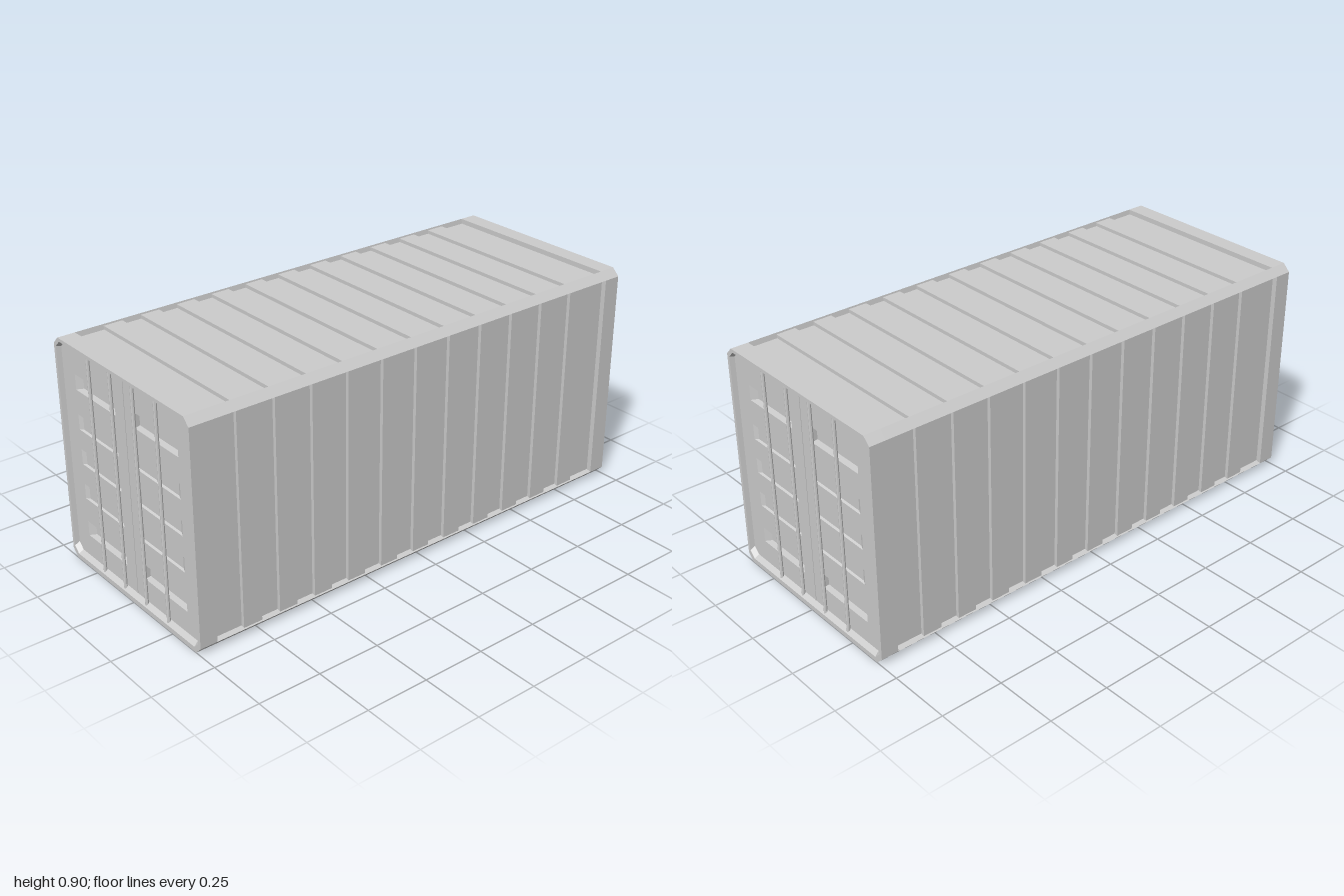
import * as THREE from 'three';

const mat = new THREE.MeshStandardMaterial({ color: 0xcccccc, flatShading: true, side: THREE.DoubleSide });

// Closed skin joining rings of equal point count; optional cap on the last ring
function loft(rings, cap) {
  const n = rings[0].length, pos = [], idx = [];
  rings.forEach(r => r.forEach(p => pos.push(...p)));
  for (let k = 0; k < rings.length - 1; k++)
    for (let i = 0; i < n; i++) {
      const a = k * n + i, b = k * n + (i + 1) % n;
      idx.push(a, b, b + n, a, b + n, a + n);
    }
  if (cap) {
    const o = (rings.length - 1) * n;
    for (let i = 1; i < n - 1; i++) idx.push(o, o + i, o + i + 1);
  }
  const g = new THREE.BufferGeometry();
  g.setAttribute('position', new THREE.Float32BufferAttribute(pos, 3));
  g.setIndex(idx);
  const flat = g.toNonIndexed();
  flat.computeVertexNormals();
  return flat;
}

// Chamfered rectangle, anticlockwise
const octagon = (h, y0, y1, c, z) => [
  [h - c, y0, z], [h, y0 + c, z], [h, y1 - c, z], [h - c, y1, z],
  [c - h, y1, z], [-h, y1 - c, z], [-h, y0 + c, z], [c - h, y0, z]];

const rect = (x0, x1, y0, y1, z) => [[x0, y0, z], [x1, y0, z], [x1, y1, z], [x0, y1, z]];
const vec = ring => ring.map(p => new THREE.Vector2(p[0], p[1]));

function add(parent, name, geometry, x = 0, y = 0, z = 0) {
  const m = new THREE.Mesh(geometry, mat);
  m.name = name;
  m.position.set(x, y, z);
  parent.add(m);
  return m;
}

// One end: chamfered frame, recessed doors with pressed slots, locking bars
function makeEnd() {
  const end = new THREE.Group();
  end.name = 'doorEnd';
  const zDoor = 0.982;
  const inner = octagon(0.402, 0.033, 0.884, 0.025, zDoor);
  add(end, 'endFrame', loft([
    octagon(0.37, 0.04, 0.85, 0.02, 0.93),
    octagon(0.42, 0, 0.9, 0.029, 0.93),
    octagon(0.42, 0, 0.9, 0.029, 1),
    octagon(0.407, 0.019, 0.887, 0.025, 1),
    inner]));

  const door = new THREE.Shape(vec(inner));
  const rows = [[0.152, 0.022], [0.309, 0.008], [0.451, 0.008], [0.591, 0.008], [0.749, 0.022]];
  for (const [y, depth] of rows)
    for (const s of [-1, 1]) {
      const slot = (out, h, z) => s > 0 ? rect(0.06, out, y - h, y + h, z) : rect(-out, -0.06, y - h, y + h, z);
      const rim = slot(0.322, 0.03, zDoor);
      door.holes.push(new THREE.Path(vec(rim)));
      add(end, 'doorSlot', loft([rim, slot(0.303, 0.026, zDoor - depth)], true));
    }
  add(end, 'doors', new THREE.ShapeGeometry(door), 0, 0, zDoor);
  add(end, 'doorSeam', new THREE.BoxGeometry(0.006, 0.85, 0.004), 0, 0.459, zDoor);
  for (const x of [-0.21, -0.07, 0.07, 0.21])
    add(end, 'lockingBar', new THREE.CylinderGeometry(0.007, 0.007, 0.867, 8), x, 0.453, 0.989);
  return end;
}

export function createModel() {
  const model = new THREE.Group();
  model.name = 'cargoContainer';

  // Recessed walls, roof and floor
  add(model, 'body', new THREE.BoxGeometry(0.8, 0.868, 1.88), 0, 0.446, 0);

  // Chamfered rails along the four long edges
  const profiles = {
    topRail: [[0.42, 0.871], [0.391, 0.9], [0.386, 0.875], [0.395, 0.866]],
    bottomRail: [[0.42, 0.029], [0.391, 0], [0.386, 0.02], [0.395, 0.036]],
  };
  for (const [name, pts] of Object.entries(profiles))
    for (const s of [-1, 1]) {
      const shape = new THREE.Shape(pts.map(([x, y]) => new THREE.Vector2(s * x, y)));
      add(model, name, new THREE.ExtrudeGeometry(shape, { depth: 1.87, bevelEnabled: false }), 0, 0, -0.935);
    }

  // Square corrugation on sides and roof
  const band = 0.0776;
  for (let i = -5; i <= 5; i++) {
    const z = i * 2 * band;
    add(model, 'roofRib', new THREE.BoxGeometry(0.778, 0.02, band), 0, 0.884, z);
    for (const s of [-1, 1])
      add(model, 'sideRib', new THREE.BoxGeometry(0.02, 0.838, band), s * 0.404, 0.45, z);
  }

  // Matching ends
  const front = makeEnd(), back = makeEnd();
  front.name = 'frontEnd';
  back.name = 'backEnd';
  back.rotation.y = Math.PI;
  model.add(front, back);
  return model;
}
